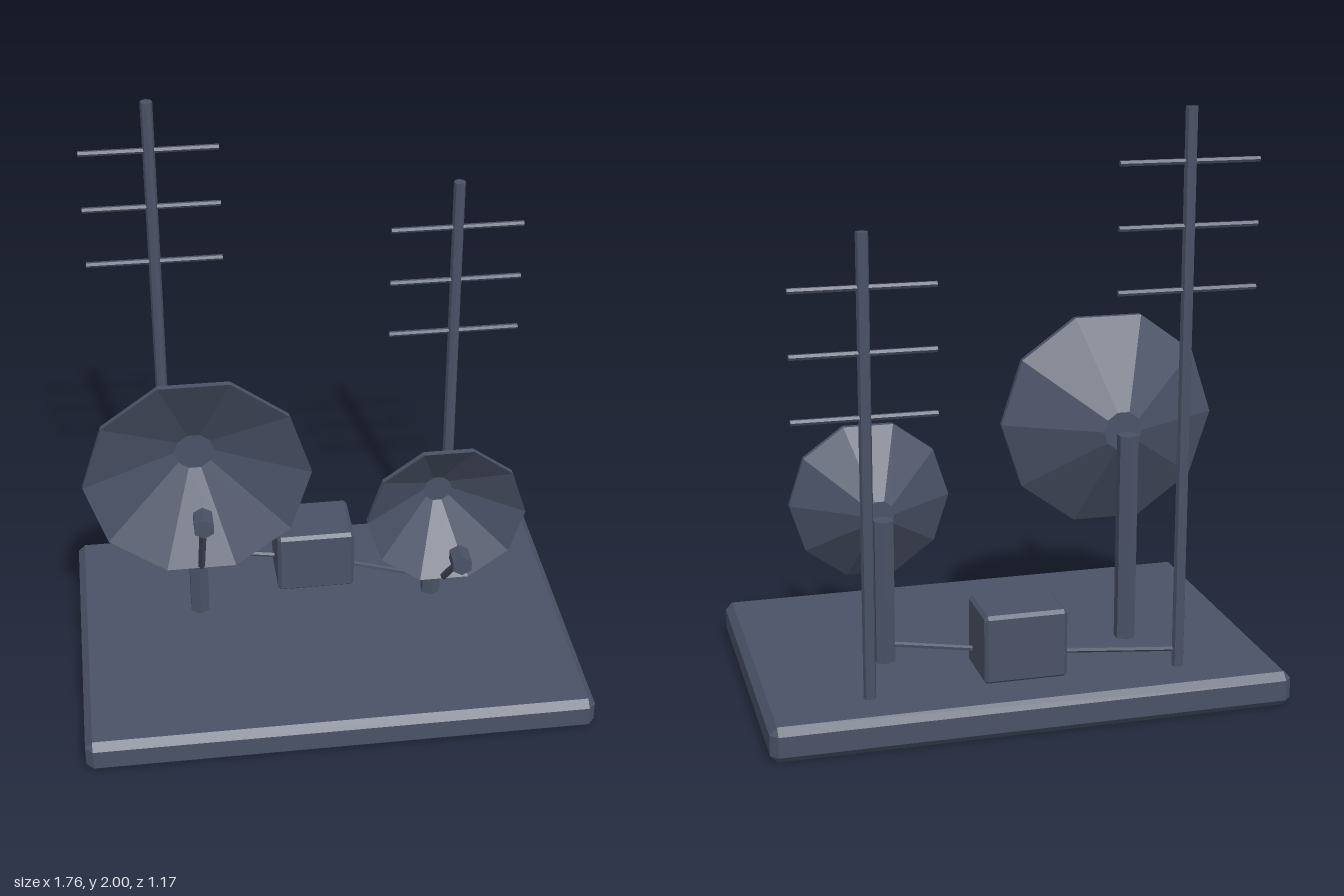
import * as THREE from 'three';
import { ConvexGeometry } from 'three/addons/geometries/ConvexGeometry.js';

const slate = new THREE.MeshStandardMaterial({ color: 0x4a5266, flatShading: true });
slate.name = 'slate';

function add(parent, name, geometry, x = 0, y = 0, z = 0) {
  const mesh = new THREE.Mesh(geometry, slate);
  mesh.name = name;
  mesh.position.set(x, y, z);
  parent.add(mesh);
  return mesh;
}

// Box with every edge cut back by c
function chamferBox(w, h, d, c) {
  const points = [];
  for (const sx of [-1, 1]) for (const sy of [-1, 1]) for (const sz of [-1, 1]) {
    const [x, y, z] = [w / 2, h / 2, d / 2];
    points.push(
      new THREE.Vector3(sx * x, sy * (y - c), sz * (z - c)),
      new THREE.Vector3(sx * (x - c), sy * y, sz * (z - c)),
      new THREE.Vector3(sx * (x - c), sy * (y - c), sz * z));
  }
  return new ConvexGeometry(points);
}

// Round bar between two points
function rod(parent, name, a, b, radius, sides = 6) {
  const from = new THREE.Vector3(...a), to = new THREE.Vector3(...b);
  const dir = to.clone().sub(from);
  const mesh = add(parent, name, new THREE.CylinderGeometry(radius, radius, dir.length(), sides));
  mesh.position.copy(from).add(to).multiplyScalar(0.5);
  mesh.quaternion.setFromUnitVectors(new THREE.Vector3(0, 1, 0), dir.normalize());
  return mesh;
}

// Post, faceted reflector, feed arm and feed horn
function dishAntenna(name, x, y, R) {
  const group = new THREE.Group();
  group.name = name;
  rod(group, 'post', [x, 0.11, -0.12], [x, y, -0.12], 0.0375);

  const hub = R * 0.18;
  const profile = [[0, -0.072], [hub, -0.072], [R, 0.105], [R, 0.127], [hub, -0.05], [0, -0.05]]
    .map(([r, z]) => new THREE.Vector2(r, z));
  const reflector = add(group, 'reflector', new THREE.LatheGeometry(profile, 10, Math.PI / 2), x, y, 0);
  reflector.rotation.x = Math.PI / 2;

  const lip = y - R * Math.cos(Math.PI / 10);
  rod(group, 'feedArm', [x, lip, 0.115], [x, y, 0.375], 0.013);
  const horn = add(group, 'feedHorn', new THREE.CylinderGeometry(0.036, 0.036, 0.074, 6), x, y, 0.375);
  horn.rotation.x = Math.PI / 2;
  return group;
}

// Tall mast with three crossbars
function mast(name, x, top) {
  const group = new THREE.Group();
  group.name = name;
  const z = -0.412;
  rod(group, 'pole', [x, 0.11, z], [x, top, z], 0.021, 8);
  for (let i = 0; i < 3; i++) {
    const y = top - 0.173 - i * 0.207;
    rod(group, 'crossbar', [x - 0.235, y, z], [x + 0.235, y, z], 0.01);
  }
  return group;
}

export function createModel() {
  const model = new THREE.Group();
  model.name = 'antennaStation';

  add(model, 'base', chamferBox(1.76, 0.12, 1.17, 0.025), 0, 0.06, 0);
  add(model, 'equipmentBox', chamferBox(0.285, 0.24, 0.23, 0.012), 0, 0.235, -0.295);

  model.add(
    dishAntenna('rightDish', -0.44, 0.856, 0.387),
    dishAntenna('leftDish', 0.42, 0.623, 0.28),
    mast('rightMast', -0.53, 2),
    mast('leftMast', 0.53, 1.648));

  // Conduits from the equipment box
  rod(model, 'mastConduit', [0, 0.18, -0.295], [-0.53, 0.18, -0.412], 0.01);
  rod(model, 'dishConduit', [0, 0.18, -0.295], [0.42, 0.18, -0.12], 0.01);
  return model;
}
